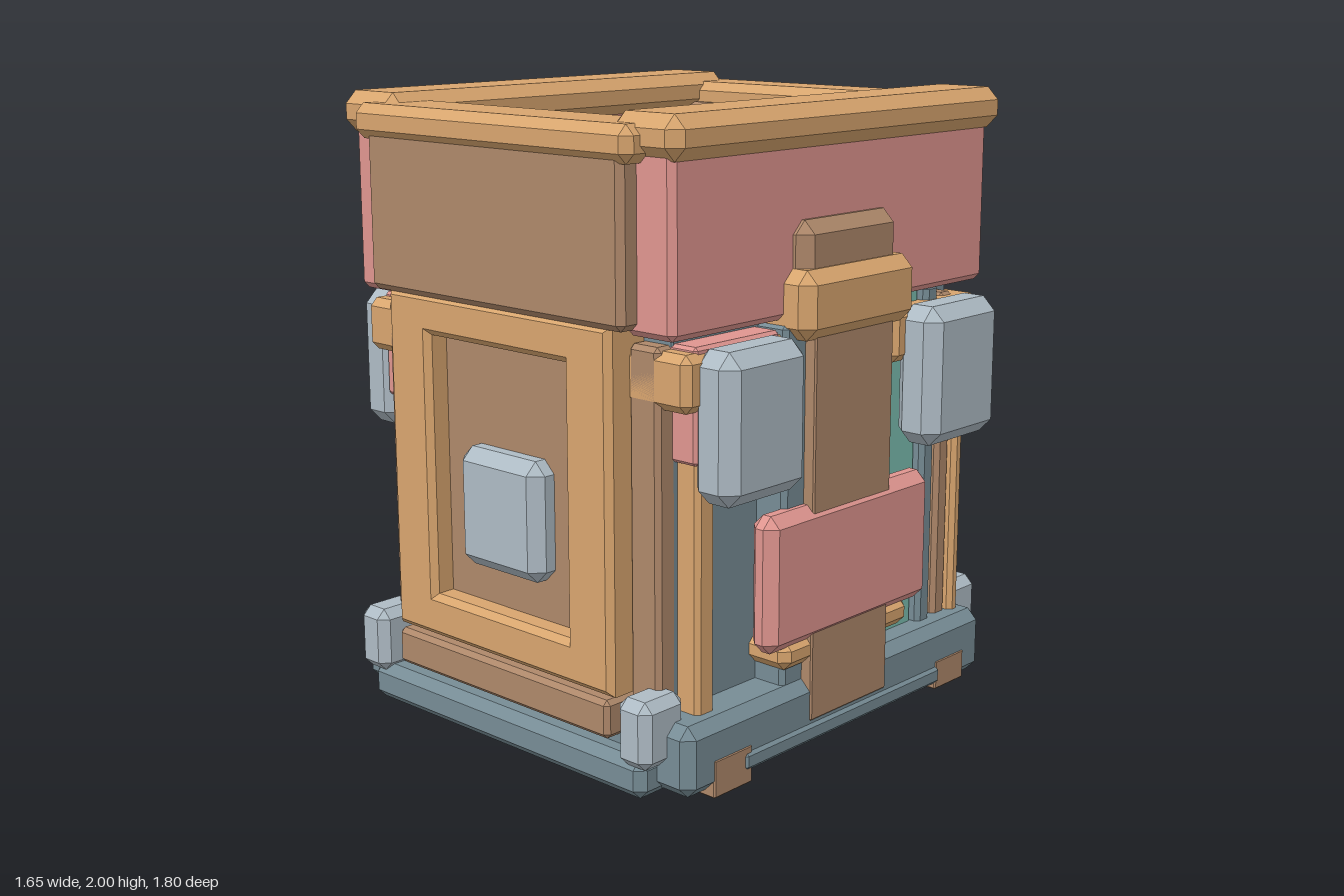
import * as THREE from 'three';
import { ConvexGeometry } from 'three/addons/geometries/ConvexGeometry.js';

const material = (name, color) => {
  const m = new THREE.MeshStandardMaterial({ color });
  m.name = name;
  return m;
};

export function createModel() {
  const wood = material('light wood', 0xd8a56e);
  const brown = material('brown wood', 0xae886a);
  const slate = material('slate', 0x778c95);
  const steel = material('pale steel', 0xaebbc4);
  const pink = material('pink', 0xdf958f);
  const teal = material('teal', 0x7cbeb0);
  const gold = material('gold', 0xe2c488);

  const model = new THREE.Group();
  model.name = 'planterTower';

  const add = (name, geometry, mat) => {
    const mesh = new THREE.Mesh(geometry, mat);
    mesh.name = name;
    model.add(mesh);
    return mesh;
  };

  // Box with chamfered edges, given as min/max pairs
  const block = (name, mat, [x0, x1], [y0, y1], [z0, z1], bevel = 0.015) => {
    const half = [(x1 - x0) / 2, (y1 - y0) / 2, (z1 - z0) / 2];
    const b = Math.min(bevel, ...half.map(h => h * 0.8));
    const points = [];
    for (const sx of [-1, 1]) for (const sy of [-1, 1]) for (const sz of [-1, 1])
      for (let axis = 0; axis < 3; axis++) {
        const p = [sx, sy, sz].map((s, i) => s * (half[i] - (i === axis ? 0 : b)));
        points.push(new THREE.Vector3(...p));
      }
    const mesh = add(name, new ConvexGeometry(points), mat);
    mesh.position.set((x0 + x1) / 2, (y0 + y1) / 2, (z0 + z1) / 2);
  };

  // Same block on both sides of the model
  const pair = (name, mat, [x0, x1], y, z, bevel) => {
    block('left ' + name, mat, [x0, x1], y, z, bevel);
    block('right ' + name, mat, [-x1, -x0], y, z, bevel);
  };

  // Rectangular frame with a chamfered opening
  const frame = (name, mat, w, [y0, y1], ow, [o0, o1], [z0, z1]) => {
    const rect = (path, hw, a, b) => {
      path.moveTo(-hw, a); path.lineTo(hw, a);
      path.lineTo(hw, b); path.lineTo(-hw, b); path.closePath();
      return path;
    };
    const shape = rect(new THREE.Shape(), w, y0, y1);
    shape.holes.push(rect(new THREE.Path(), ow, o0, o1));
    const b = 0.02;
    const geometry = new THREE.ExtrudeGeometry(shape, {
      depth: z1 - z0 - 2 * b, bevelEnabled: true, bevelSegments: 1,
      bevelSize: b, bevelThickness: b, bevelOffset: -b,
    });
    add(name, geometry, mat).position.z = z0 + b;
  };

  const rock = (name, mat, r, [x, y, z], [sx, sy, sz], turn) => {
    const mesh = add(name, new THREE.IcosahedronGeometry(r, 0), mat);
    mesh.position.set(x, y, z);
    mesh.scale.set(sx, sy, sz);
    mesh.rotation.set(turn, turn * 0.7, turn * 0.4);
  };

  // Base: wide slab with shorter boards at the front and back
  block('base slab', slate, [-0.745, 0.745], [0.02, 0.24], [-0.67, 0.81], 0.035);
  block('base boards', slate, [-0.62, 0.62], [0.005, 0.13], [-0.74, 0.88], 0.03);
  block('base beam', brown, [-0.748, 0.748], [0, 0.12], [0.53, 0.7], 0.005);
  pair('base patch', brown, [0.70, 0.748], [0.02, 0.12], [-0.56, -0.4], 0.005);
  pair('base rail', slate, [0.7, 0.755], [0.04, 0.105], [-0.42, 0.57]);
  for (const z of [[0.72, 0.9], [-0.76, -0.6]])
    pair('corner foot', steel, [0.53, 0.66], [0.11, 0.32], z, 0.03);

  // Body core and inner floor
  block('body core', slate, [-0.6, 0.6], [0.2, 1.4], [-0.6, 0.72], 0.005);
  block('front floor band', pink, [-0.58, 0.58], [1.3, 1.42], [0.3, 0.52], 0.01);
  block('back floor band', pink, [-0.58, 0.58], [1.3, 1.42], [-0.4, -0.18], 0.01);
  block('floor beam', slate, [-0.6, 0.6], [1.38, 1.55], [-0.2, 0.32], 0.04);

  // Corner posts, side panels and brackets
  pair('front inner post', brown, [0.48, 0.6], [0.2, 1.34], [0.66, 0.78]);
  pair('front outer post', wood, [0.54, 0.68], [0.2, 1.3], [0.62, 0.7]);
  pair('back outer post', wood, [0.54, 0.68], [0.2, 1.3], [-0.62, -0.57]);
  pair('back inner post', brown, [0.54, 0.66], [0.2, 1.34], [-0.57, -0.5]);
  pair('back slate post', slate, [0.54, 0.67], [0.2, 1.38], [-0.47, -0.4]);
  pair('side teal panel', teal, [0.54, 0.64], [0.2, 1.38], [-0.4, -0.17], 0.01);
  pair('front strap', pink, [0.5, 0.69], [1, 1.345], [0.355, 0.72], 0.01);
  pair('front bracket', wood, [0.46, 0.71], [1.16, 1.33], [0.3, 0.78], 0.025);
  pair('back bracket', wood, [0.46, 0.71], [1.16, 1.33], [-0.65, -0.18], 0.025);
  for (const z of [[0.365, 0.725], [-0.605, -0.235]])
    pair('side lamp', steel, [0.66, 0.825], [0.89, 1.34], z, 0.045);

  // Side pillars
  pair('pillar edge', slate, [0.55, 0.71], [0.2, 1.36], [-0.17, 0.35]);
  pair('pillar shaft', brown, [0.5, 0.75], [0.11, 1.5], [-0.12, 0.26], 0.005);
  pair('pillar foot band', wood, [0.55, 0.745], [0.295, 0.39], [-0.25, 0.38], 0.03);
  pair('pillar cap', wood, [0.45, 0.785], [1.31, 1.52], [-0.2, 0.34], 0.04);
  pair('pillar top', brown, [0.46, 0.74], [1.48, 1.66], [-0.16, 0.3], 0.04);
  block('side plate', pink, [0.66, 0.76], [0.37, 0.8], [-0.33, 0.465], 0.035);

  // Front door
  frame('front frame', wood, 0.49, [0.29, 1.4], 0.3, [0.43, 1.27], [0.7, 0.868]);
  block('front panel', brown, [-0.4, 0.4], [0.35, 1.32], [0.7, 0.79], 0.005);
  block('front plate', steel, [-0.185, 0.18], [0.56, 0.94], [0.75, 0.868], 0.04);
  block('front sill', brown, [-0.48, 0.48], [0.16, 0.28], [0.7, 0.875], 0.015);

  // Back door
  frame('back frame', wood, 0.49, [0.26, 1.36], 0.31, [0.4, 1.28], [-0.73, -0.58]);
  block('back panel', teal, [-0.31, 0.31], [0.4, 1.28], [-0.715, -0.58], 0.03);
  block('back plate', teal, [-0.28, 0.28], [0.55, 0.97], [-0.73, -0.6], 0.015);
  block('back sill', teal, [-0.48, 0.48], [0.17, 0.25], [-0.73, -0.58]);
  pair('back column', teal, [0.475, 0.605], [0.19, 1.27], [-0.74, -0.6], 0.03);

  // Open box on top with its rim
  pair('top side wall', pink, [0.5, 0.69], [1.37, 1.9], [-0.685, 0.815], 0.02);
  block('top front wall', brown, [-0.555, 0.555], [1.39, 1.9], [0.66, 0.88], 0.02);
  block('top back wall', brown, [-0.555, 0.555], [1.39, 1.9], [-0.74, -0.525], 0.02);
  pair('side rim', wood, [0.465, 0.73], [1.87, 2], [-0.72, 0.845], 0.04);
  block('front rim', wood, [-0.6, 0.6], [1.86, 1.97], [0.65, 0.9], 0.03);
  block('back rim', wood, [-0.6, 0.6], [1.86, 1.97], [-0.77, -0.56], 0.03);

  // Nuggets
  rock('back nugget', gold, 0.14, [0, 1.575, -0.775], [1.05, 0.97, 0.92], 0.5);
  rock('inner nugget', gold, 0.095, [0.385, 1.52, -0.21], [1, 1, 1], 0.9);
  rock('floor nugget', pink, 0.055, [0, 1.57, 0.03], [1, 1, 1.1], 0.3);

  return model;
}
